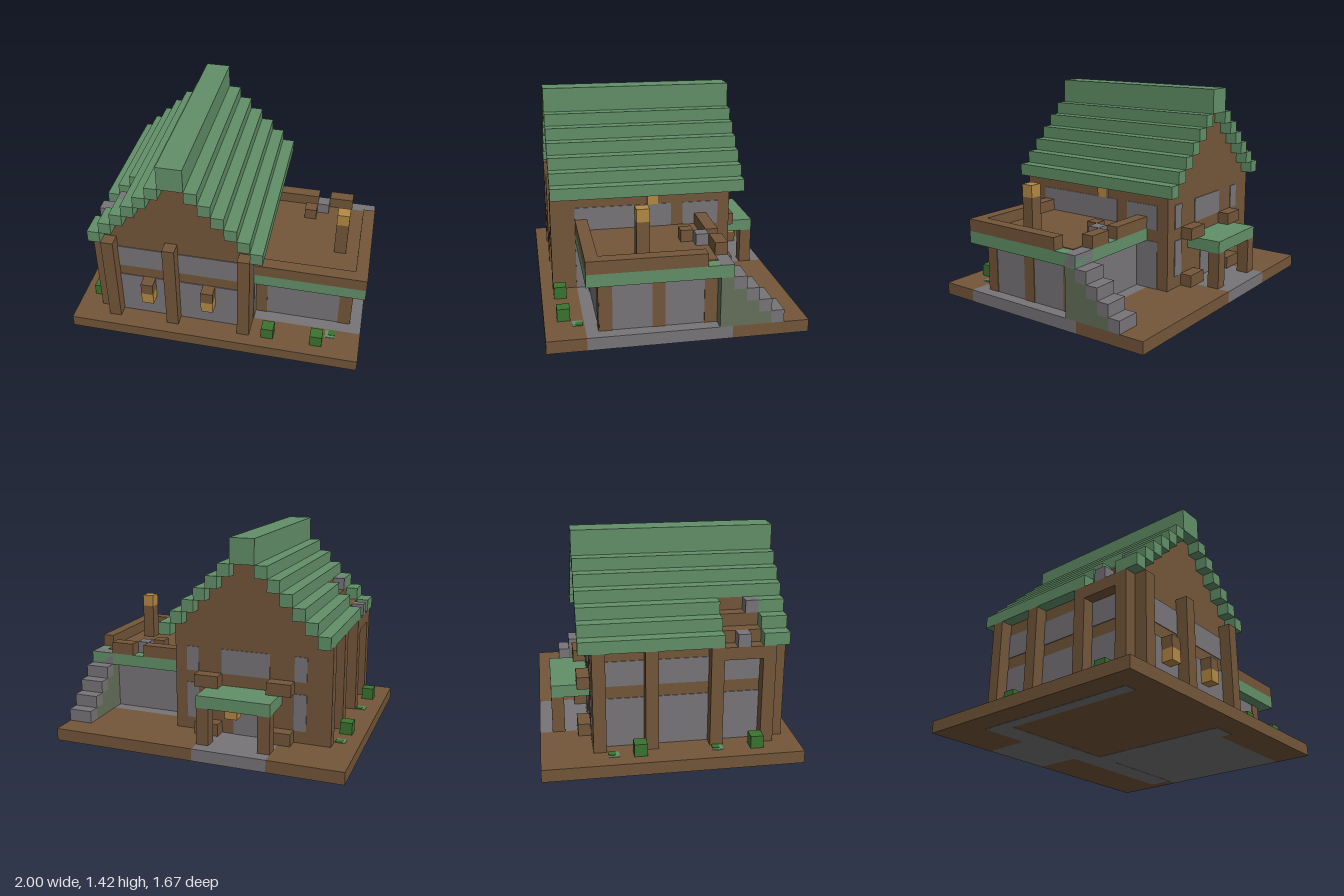
import * as THREE from 'three';

const U = 1 / 12; // one block

const mat = (name, color) => {
  const m = new THREE.MeshStandardMaterial({ color });
  m.name = name;
  return m;
};

export function createModel() {
  const wood = mat('wood', 0x73563a);
  const roofGreen = mat('roofGreen', 0x629068);
  const stone = mat('stone', 0x787578);
  const mossStone = mat('mossStone', 0x65705a);
  const lamp = mat('lamp', 0xb58944);
  const leaf = mat('leaf', 0x3a732f);

  const model = new THREE.Group();
  model.name = 'blockHouse';

  // Box from its minimum to its maximum corner, in blocks
  const box = (name, m, x0, x1, y0, y1, z0, z1) => {
    const g = new THREE.BoxGeometry((x1 - x0) * U, (y1 - y0) * U, (z1 - z0) * U);
    const mesh = new THREE.Mesh(g, m);
    mesh.position.set((x0 + x1) / 2 * U, (y0 + y1) / 2 * U, (z0 + z1) / 2 * U);
    mesh.name = name;
    model.add(mesh);
  };
  const cube = (name, m, x, y, z) => box(name, m, x, x + 1, y, y + 1, z, z + 1);
  const T = 0.06; // plate thickness in blocks

  // Base slab: wooden yard with stone strips that reach its edges
  box('baseFront', wood, -12, 12, 0, 1, 7, 10);
  box('baseMiddleLeft', wood, -12, 3, 0, 1, -4, 7);
  box('annexFoundation', stone, 3, 12, 0, 1, -4, 7);
  box('baseBackLeft', wood, -12, -6, 0, 1, -10, -4);
  box('porchPath', stone, -6, 0, 0, 1, -10, -4);
  box('baseBackRight', wood, 0, 12, 0, 1, -10, -4);

  // Stone underside around the wooden house floor
  box('undersideLeft', stone, -10, -9, -0.02, 0.04, -6, 8);
  box('undersideRight', stone, 1, 3, -0.02, 0.04, -6, 8);
  box('undersideBack', stone, -9, 1, -0.02, 0.04, -6, -4);
  box('undersideStairs', stone, 3, 11, -0.02, 0.04, -6, -4);

  // House body with stepped gables
  box('houseBody', wood, -9, 3, 1, 9, -6, 8);
  for (let i = 0; i < 6; i++) box('gable', wood, -9 + i, 3 - i, 9 + i, 10 + i, -6, 8);

  // Front wall panels, posts and lanterns
  for (const [x0, x1] of [[-8, -4], [-3, 2]]) {
    box('frontLowerPanel', stone, x0, x1, 1, 5, 8, 8 + T);
    box('frontUpperPanel', stone, x0, x1, 6, 8, 8, 8 + T);
  }
  for (const x of [-9, -4, 2]) box('frontPost', wood, x, x + 1, 1, 9, 8, 9);
  for (const x of [-6, -1]) {
    cube('lanternBracket', wood, x, 4, 8);
    cube('lanternLamp', lamp, x, 3, 8);
  }

  // Left wall posts and panels
  for (const z of [-6, -2, 3, 7]) box('leftPost', wood, -10, -9, 1, 9, z, z + 1);
  for (const [z0, z1] of [[-5, -2], [-1, 3], [4, 7]]) {
    box('leftLowerPanel', stone, -9 - T, -9, 1, 5, z0, z1);
    box('leftUpperPanel', stone, -9 - T, -9, 6, 8, z0, z1);
  }

  // Right wall panels and lamp
  box('rightLowerPanel', stone, 3, 3 + T, 1, 5, -5, 7);
  box('rightUpperPanel', stone, 3, 3 + T, 6, 8, -1, 7);
  box('rightBackPanel', stone, 3, 3 + T, 6, 8, -5, -2);
  box('rightWallLamp', lamp, 3, 3 + 2 * T, 8, 9, 0, 1);

  // Back wall panels and door
  for (const [x0, x1] of [[-8, -7], [-5, -1], [1, 2]]) box('backUpperPanel', stone, x0, x1, 6, 8, -6 - T, -6);
  for (const x of [-8, 1]) box('backLowerPanel', stone, x, x + 1, 2, 5, -6 - T, -6);
  box('backDoor', stone, -4, -2, 1, 4, -6 - T, -6);

  // Stepped roof, with a damaged patch on the left slope
  for (let i = 0; i < 6; i++) {
    box('roofStepRight', roofGreen, 3 - i, 4 - i, 9 + i, 10 + i, -7, 9);
    const x = -10 + i;
    if (i < 3) {
      box('roofStepLeft', roofGreen, x, x + 1, 9 + i, 10 + i, -7, 4);
      box('roofStepLeft', roofGreen, x, x + 1, 9 + i, 10 + i, 7, 9);
    } else box('roofStepLeft', roofGreen, x, x + 1, 9 + i, 10 + i, -7, 9);
  }
  box('roofRidge', roofGreen, -4, -2, 15, 17, -7, 9);
  box('brokenEave', wood, -10, -9, 8, 9, 4, 7);
  cube('brokenRoofStone', stone, -10, 9, 5);
  cube('brokenRoofStone', stone, -8, 11, 6);

  // Back porch
  box('porchRoof', roofGreen, -6, 0, 4, 5, -9, -6);
  for (const x of [-6, -1]) box('porchPost', wood, x, x + 1, 1, 4, -9, -8);
  cube('porchLamp', lamp, -3, 3, -8);
  for (const x of [-7, -1]) {
    box('windowSill', wood, x, x + 2, 5, 6, -7, -6);
    box('bench', wood, x, x + 2, 1, 2, -7, -6);
  }

  // Flat-roofed annex
  box('annexWalls', stone, 3, 11, 1, 5, -3, 6);
  for (const x of [3, 10]) box('annexFrontPost', wood, x, x + 1, 1, 5, 6, 6 + T);
  for (const z of [-3, 1, 5]) box('annexSidePost', wood, 11, 11 + T, 1, 5, z, z + 1);
  box('annexTrim', roofGreen, 3, 12, 5, 6, -4, 7);
  box('terraceFloor', wood, 3, 11, 6, 6 + T, -3, 6);
  box('parapetFront', wood, 3, 12, 6, 7, 6, 7);
  box('parapetSide', wood, 11, 12, 6, 7, -2, 6);
  box('parapetBack', wood, 3, 7, 6, 7, -4, -3);
  box('parapetBack', wood, 8, 10, 6, 7, -4, -3);
  cube('terraceStone', stone, 7, 6, -3);
  cube('terraceCrate', wood, 6, 6, -2);
  box('torchPost', wood, 9, 10, 6, 9, 2, 3);
  cube('torchLamp', lamp, 9, 9, 2);

  // Outside stairs with a mossy side wall
  for (let k = 0; k < 5; k++) {
    box('stairTread', stone, 10, 12, 1 + k, 2 + k + 0.01, -8 + k, -7 + k);
    if (k) box('stairWall', mossStone, 10, 12, 1, 1 + k, -8 + k, -7 + k);
  }

  // Bushes and moss patches
  for (const [x, z] of [[-11, -3], [-11, 6], [4, 8], [8, 8]]) cube('bush', leaf, x, 1, z);
  for (const [x, z] of [[-11, -5], [-11, 3], [9, 7]]) {
    box('mossPatch', roofGreen, x + 0.15, x + 0.95, 1, 1.04, z + 0.1, z + 0.9);
    box('mossCore', leaf, x + 0.4, x + 0.95, 1, 1.08, z + 0.1, z + 0.65);
  }
  return model;
}
